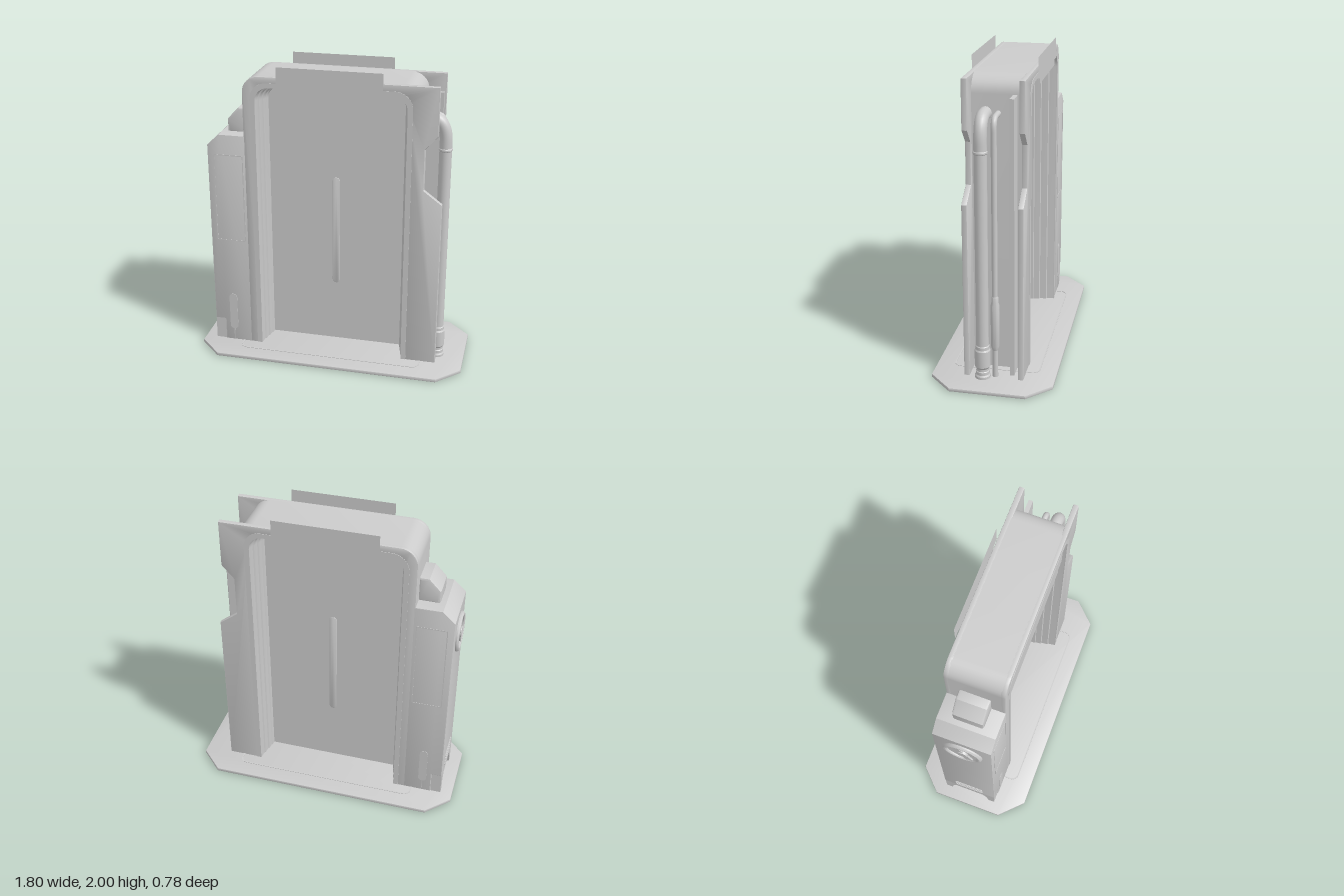
import * as THREE from 'three';
import { toCreasedNormals } from 'three/addons/utils/BufferGeometryUtils.js';

const grey = new THREE.MeshStandardMaterial({ color: 0xcccccc });
const thin = new THREE.MeshStandardMaterial({ color: 0xcccccc, side: THREE.DoubleSide });
const FLOOR = 0.02, HALF = 0.19;

const poly = pts => new THREE.Shape(pts.map(p => new THREE.Vector2(p[0], p[1])));

// Rounded rectangle points from (x0,y0) to (x1,y1)
function roundRect(x0, y0, x1, y1, r, n = 6) {
  const pts = [];
  [[x1 - r, y1 - r], [x0 + r, y1 - r], [x0 + r, y0 + r], [x1 - r, y0 + r]].forEach(([cx, cy], q) => {
    for (let i = 0; i <= n; i++) {
      const a = (q + i / n) * Math.PI / 2;
      pts.push([cx + r * Math.cos(a), cy + r * Math.sin(a)]);
    }
  });
  return pts;
}

// Thin rounded outline: a rectangle with a slightly smaller hole
function outline(x0, y0, x1, y1, r, w) {
  const s = poly(roundRect(x0, y0, x1, y1, r));
  s.holes.push(poly(roundRect(x0 + w, y0 + w, x1 - w, y1 - w, Math.max(r - w, 0.002))));
  return s;
}

// Doorway arch, from left foot over the top to right foot
function arch(hw, top, r, n = 8) {
  const pts = [[-hw, FLOOR]];
  for (let i = 0; i <= n; i++) {
    const a = Math.PI - i / n * Math.PI / 2;
    pts.push([-hw + r + r * Math.cos(a), top - r + r * Math.sin(a)]);
  }
  return pts.concat(pts.map(([x, y]) => [-x, y]).reverse());
}

function extrude(shape, z0, z1, bevel = 0) {
  const g = new THREE.ExtrudeGeometry(shape, {
    depth: z1 - z0 - 2 * bevel, bevelEnabled: bevel > 0, bevelSize: bevel,
    bevelThickness: bevel, bevelOffset: -bevel, bevelSegments: 2, curveSegments: 8
  });
  return toCreasedNormals(g.translate(0, 0, z0 + bevel), 0.5);
}

// Skin between successive arches of equal point count: [halfWidth, top, radius, z]
function liningGeometry(sections, side) {
  const rings = sections.map(([hw, top, r, z]) => arch(hw, top, r).map(([x, y]) => [x, y, z * side]));
  const pos = [];
  for (let i = 0; i + 1 < rings.length; i++) {
    for (let j = 0; j + 1 < rings[i].length; j++) {
      const a = rings[i][j], b = rings[i][j + 1], c = rings[i + 1][j + 1], d = rings[i + 1][j];
      const quad = side > 0 ? [a, d, b, b, d, c] : [a, b, d, b, c, d];
      pos.push(...quad.flat());
    }
  }
  const g = new THREE.BufferGeometry();
  g.setAttribute('position', new THREE.Float32BufferAttribute(pos, 3));
  g.computeVertexNormals();
  return toCreasedNormals(g, 0.4);
}

export function createModel() {
  const model = new THREE.Group();
  const body = new THREE.Group();
  body.name = 'gate';
  body.position.z = -0.005;
  model.add(body);
  const add = (name, geo, mat = grey, parent = body) => {
    const m = new THREE.Mesh(geo, mat);
    m.name = name;
    parent.add(m);
    return m;
  };
  // Same flat part on the front and the back
  const both = (name, shape, z0, z1, bevel = 0) => {
    add(name + 'Front', extrude(shape, z0, z1, bevel));
    add(name + 'Back', extrude(shape, -z1, -z0, bevel));
  };

  // Base plate with clipped corners, an inlay line on top and a rail beneath
  const flat = (name, shape, y0, y1, bevel) =>
    add(name, extrude(shape, y0, y1, bevel).rotateX(-Math.PI / 2), grey, model);
  const corner = [[0.9, 0.24], [0.75, 0.39]];
  flat('basePlate', poly([
    ...corner, ...corner.map(([x, z]) => [-x, z]).reverse(),
    ...corner.map(([x, z]) => [-x, -z]), ...corner.map(([x, z]) => [x, -z]).reverse()
  ]), 0.002, 0.025, 0.004);
  flat('baseInlay', outline(-0.62, -0.28, 0.62, 0.28, 0.05, 0.008), 0.024, 0.028);
  flat('undersideInlay', outline(-0.6, -0.2, 0.6, 0.2, 0.05, 0.006), 0.0, 0.004);
  flat('undersideRail', poly(roundRect(-0.5, -0.015, 0.5, 0.015, 0.014)), 0.0, 0.006);

  // Arched core of the frame
  const opening = arch(0.487, 1.86, 0.09);
  add('frameCore', extrude(poly([...arch(0.57, 1.93, 0.11), ...opening.slice().reverse()]), -0.165, 0.165));

  // Face plates, running past the core on the left with a cut-out for the pipes
  const leftArc = arch(0.57, 1.93, 0.11).slice(0, 10);
  both('facePlate', poly([
    ...leftArc, [0.68, 1.93], [0.68, 1.62], [0.6, 1.53], [0.6, 1.26], [0.72, 1.17], [0.72, FLOOR],
    ...opening.slice().reverse()
  ]), 0.155, HALF, 0.005);

  // Stepped doorway lining and raised trim, on both faces
  const steps = [
    [0.487, 1.86, 0.09, 0.188], [0.482, 1.855, 0.09, 0.14], [0.474, 1.847, 0.085, 0.135],
    [0.47, 1.842, 0.085, 0.09], [0.462, 1.834, 0.08, 0.085], [0.458, 1.829, 0.08, 0.045],
    [0.452, 1.823, 0.075, 0.04], [0.45, 1.82, 0.075, 0.01]
  ];
  for (const s of [1, -1]) add('doorLining', liningGeometry(steps, s), thin);
  both('archTrim', poly([...arch(0.52, 1.89, 0.11), ...opening.slice().reverse()]), HALF - 0.002, HALF + 0.003);

  // Door leaf with centre seam and long handle
  add('door', new THREE.BoxGeometry(0.96, 1.83, 0.02).translate(0, 0.935, 0));
  both('doorSeam', poly([[-0.003, 0.22], [0.003, 0.22], [0.003, 1.82], [-0.003, 1.82]]), 0.009, 0.012);
  both('doorHandle', poly(roundRect(-0.025, 0.46, 0.025, 1.23, 0.024)), 0.009, 0.016, 0.002);

  // Thin sign boards over the doorway
  const sign = poly([[-0.34, 2], [-0.34, 1.862], [-0.275, 1.862], [-0.275, 1.825],
    [0.275, 1.825], [0.275, 1.862], [0.335, 1.862], [0.335, 2]]);
  for (const s of [1, -1]) add('signBoard', new THREE.ShapeGeometry(sign).translate(0, 0, s * 0.205), thin);

  // Side cabinet with an undercut foot
  add('cabinet', extrude(poly([
    [-0.56, FLOOR], [-0.56, 1.53], [-0.74, 1.53], [-0.82, 1.455], [-0.82, 0.18], [-0.75, 0.18], [-0.75, FLOOR]
  ]), -HALF, HALF, 0.005));
  add('cabinetFoot', extrude(poly([
    [-0.185, FLOOR], [-0.14, FLOOR], [-0.13, 0.09], [-0.1, 0.14], [0.1, 0.14], [0.13, 0.09],
    [0.14, FLOOR], [0.185, FLOOR], [0.185, 0.19], [-0.185, 0.19]
  ]), 0.74, 0.82).rotateY(-Math.PI / 2));
  add('cabinetCap', extrude(poly([
    [-0.56, 1.52], [-0.56, 1.69], [-0.63, 1.69], [-0.705, 1.61], [-0.705, 1.52]
  ]), -0.1, 0.1, 0.015));
  both('cabinetPanel', outline(-0.78, 0.785, -0.58, 1.395, 0.012, 0.006), HALF - 0.002, HALF + 0.002);
  both('cabinetLatch', poly(roundRect(-0.715, 0.11, -0.66, 0.38, 0.025)), HALF - 0.002, HALF + 0.003);
  both('latchLine', poly([[-0.69, 0.03], [-0.685, 0.03], [-0.685, 0.11], [-0.69, 0.11]]), HALF - 0.002, HALF + 0.002);
  for (let i = 0; i < 4; i++) {
    add('vent', new THREE.BoxGeometry(0.008, 0.008, 0.2).translate(-0.821, 0.21 + i * 0.026, 0));
  }

  // Round dial on the cabinet's outer side
  const dial = new THREE.Group();
  dial.name = 'dial';
  dial.position.set(-0.82, 1.275, 0);
  dial.rotation.z = Math.PI / 2;
  body.add(dial);
  const rim = [[0.1, 0], [0.1, 0.014], [0.108, 0.02], [0.12, 0.02], [0.13, 0.01], [0.13, -0.01]];
  add('dialRim', toCreasedNormals(new THREE.LatheGeometry(rim.map(p => new THREE.Vector2(...p)).reverse(), 32), 0.5), thin, dial);
  add('dialFace', new THREE.CylinderGeometry(0.1, 0.1, 0.01, 32), grey, dial);
  add('dialGrip', new THREE.BoxGeometry(0.19, 0.022, 0.05).translate(0, 0.005, 0), grey, dial).rotation.y = 0.5;
  add('dialHub', new THREE.CylinderGeometry(0.035, 0.04, 0.03, 20).translate(0, 0.006, 0), grey, dial);

  // Pipes and fin in the channel on the other side
  function pipe(name, x, z, r, top, bend) {
    const path = new THREE.CurvePath();
    const V = (px, py) => new THREE.Vector3(px, py, z);
    path.add(new THREE.LineCurve3(V(0.52, top), V(x - bend, top)));
    path.add(new THREE.QuadraticBezierCurve3(V(x - bend, top), V(x, top), V(x, top - bend * 1.5)));
    path.add(new THREE.LineCurve3(V(x, top - bend * 1.5), V(x, FLOOR)));
    add(name, new THREE.TubeGeometry(path, 120, r, 16));
  }
  const collar = (name, x, z, pts) => add(name, toCreasedNormals(
    new THREE.LatheGeometry(pts.map(p => new THREE.Vector2(...p)), 20), 0.5).translate(x, 0, z));
  pipe('largePipe', 0.715, 0.07, 0.04, 1.705, 0.1);
  pipe('smallPipe', 0.695, -0.007, 0.018, 1.705, 0.05);
  collar('largePipeJoint', 0.715, 0.07, [[0.04, 1.495], [0.044, 1.5], [0.044, 1.51], [0.04, 1.515]]);
  collar('largePipeSleeve', 0.715, 0.07, [[0.04, 0.09], [0.05, 0.105], [0.05, 0.215], [0.044, 0.225], [0.044, 0.245], [0.04, 0.25]]);
  collar('largePipeFoot', 0.715, 0.07, [[0.05, FLOOR], [0.05, 0.04], [0.044, 0.05], [0.044, 0.07], [0.04, 0.075]]);
  collar('smallPipeSleeve', 0.695, -0.007, [[0.018, 0.21], [0.027, 0.24], [0.027, 0.52], [0.022, 0.54], [0.022, 0.57], [0.018, 0.58]]);
  add('channelFin', new THREE.BoxGeometry(0.12, 1.8, 0.028).translate(0.612, 0.92, -0.11));

  return model;
}
